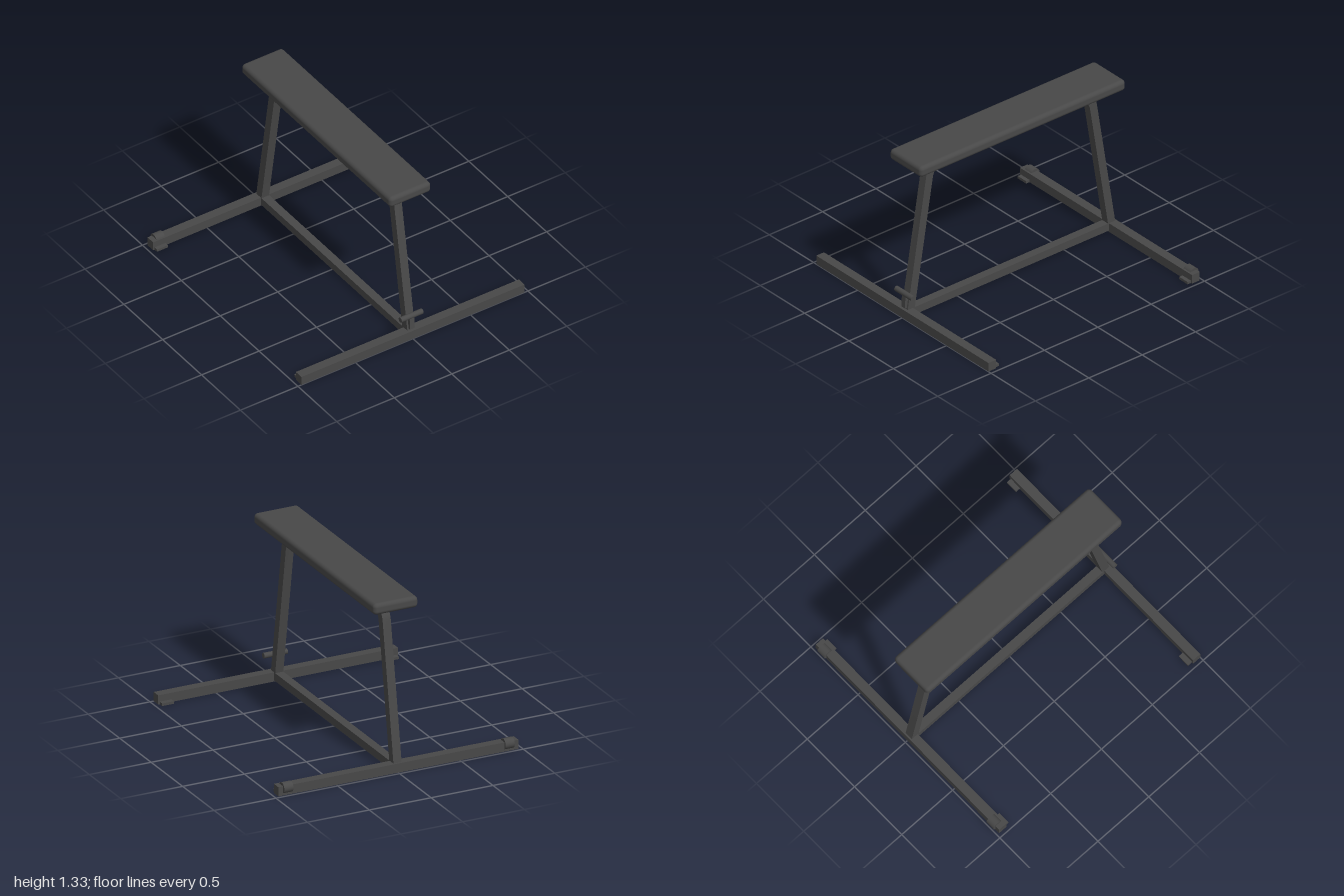
import * as THREE from 'three';
import { RoundedBoxGeometry } from 'three/addons/geometries/RoundedBoxGeometry.js';
import { toCreasedNormals } from 'three/addons/utils/BufferGeometryUtils.js';

export function createModel() {
  const model = new THREE.Group();
  model.name = 'bench';
  const darkGrey = new THREE.MeshStandardMaterial({ color: 0x484848 });
  darkGrey.name = 'dark grey';

  const add = (name, geometry, x, y, z) => {
    const mesh = new THREE.Mesh(geometry, darkGrey);
    mesh.name = name;
    mesh.position.set(x, y, z);
    model.add(mesh);
    return mesh;
  };
  const box = (name, w, h, d, x, y, z) => add(name, new THREE.BoxGeometry(w, h, d), x, y, z);
  const rod = (name, radius, length, x, y, z) =>
    add(name, new THREE.CylinderGeometry(radius, radius, length, 24).rotateZ(Math.PI / 2), x, y, z);

  // Padded seat
  add('seat', new RoundedBoxGeometry(0.36, 0.088, 1.925, 5, 0.03), 0, 1.289, 0.013);

  // Bent square tube forming both legs and the seat rail
  const half = 0.033, bend = 0.12, lean = 0.162, arcZ = 0.65, arcY = 1.213 - bend;
  const side = (offset) => {
    const r = bend + offset, points = [];
    const footY = 0.045;
    const startY = arcY + r * Math.sin(lean);
    points.push([arcZ + r * Math.cos(lean) + (startY - footY) * Math.tan(lean), footY]);
    for (let i = 0; i <= 12; i++) {
      const a = lean + (Math.PI / 2 - lean) * i / 12;
      points.push([arcZ + r * Math.cos(a), arcY + r * Math.sin(a)]);
    }
    const mirrored = points.map(([z, y]) => [-z, y]).reverse();
    return [...points, ...mirrored];
  };
  const outline = [...side(half), ...side(-half).reverse()].map(([z, y]) => new THREE.Vector2(z, y));
  const tube = new THREE.ExtrudeGeometry(new THREE.Shape(outline), { depth: half * 2, bevelEnabled: false });
  tube.rotateY(-Math.PI / 2).translate(half, 0, 0);
  add('legFrame', toCreasedNormals(tube, 0.5), 0, 0, 0.005);

  // Floor bars
  box('spineBar', 0.066, 0.062, 1.86, 0, 0.041, 0.01);
  box('frontFootBar', 1.94, 0.072, 0.072, 0, 0.036, 0.964);
  box('rearFootBar', 1.94, 0.072, 0.072, 0, 0.036, -0.944);

  // Foot plates and transport wheels at the bar ends
  for (const s of [-1, 1]) {
    box('frontFootPlate', 0.095, 0.02, 0.07, s * 0.91, 0.01, 0.925);
    box('rearFootPlate', 0.095, 0.02, 0.07, s * 0.91, 0.01, -0.912);
    rod('wheel', 0.041, 0.074, s * 0.895, 0.053, -0.959);
  }

  // Handle on the front leg
  rod('handle', 0.021, 0.19, 0, 0.196, 0.977);
  box('handleBracket', 0.04, 0.11, 0.03, 0, 0.14, 0.975).rotation.x = -0.06;

  return model;
}
